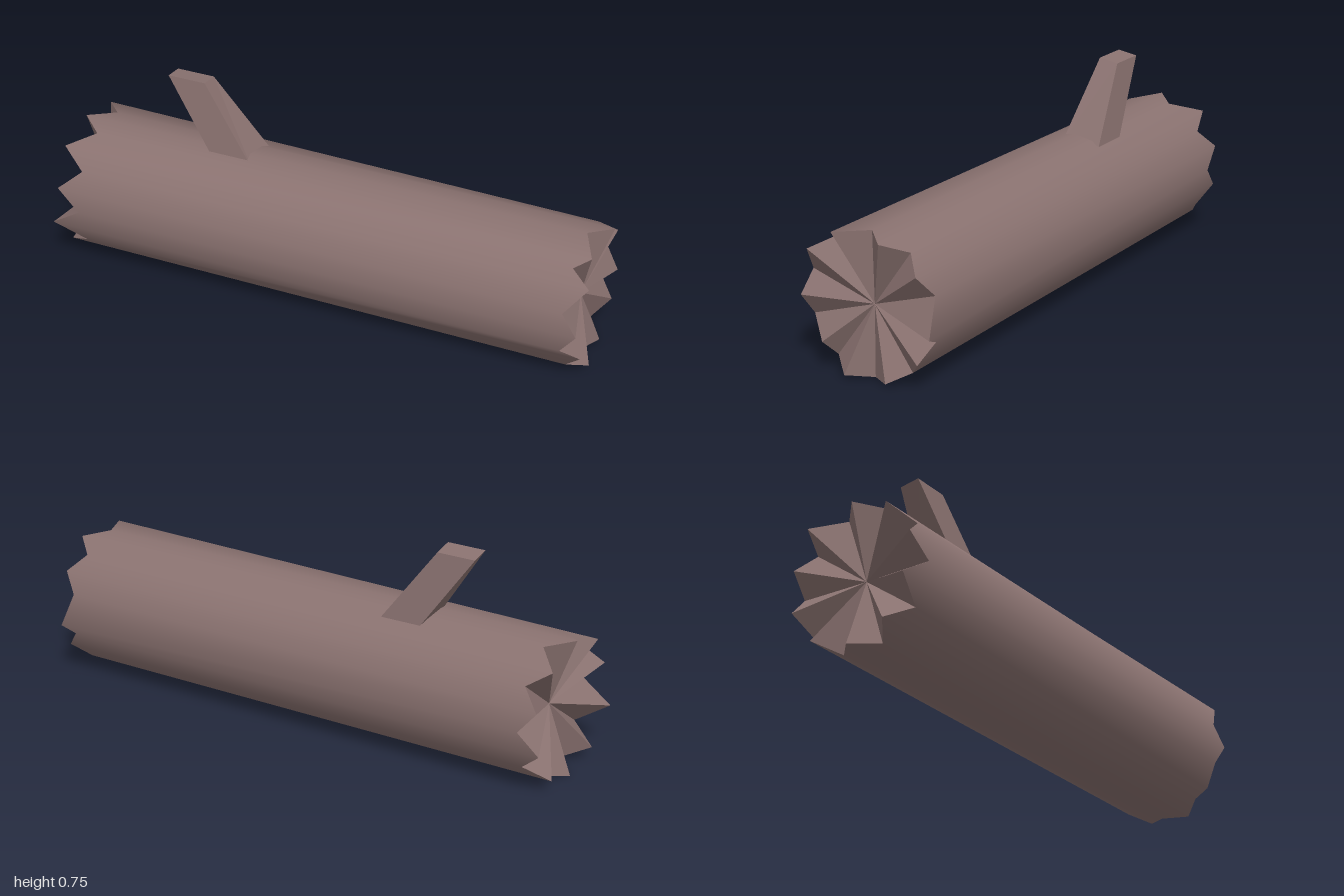
import * as THREE from 'three';

const SIDES = 20, R = 0.25, CY = 0.253;

// One broken end of the log: a ring of points whose teeth alternate with valleys
function jaggedRing(tips, valley, firstTip, nudges) {
  const ring = [];
  for (let k = 0; k < SIDES; k++) {
    const a = (k / SIDES) * Math.PI * 2; // starts at the bottom, turns toward +z
    const isTip = k % 2 === firstTip;
    const x = isTip ? tips[(k - firstTip) / 2] : valley;
    const [z, y] = nudges[k] || [R * Math.sin(a), CY - R * Math.cos(a)];
    ring.push(new THREE.Vector3(x, y, z));
  }
  return ring;
}

// Smooth bark between the two rings
function barkGeometry(left, right) {
  const pos = [], nor = [], idx = [];
  for (let k = 0; k <= SIDES; k++) {
    for (const p of [left[k % SIDES], right[k % SIDES]]) {
      pos.push(p.x, p.y, p.z);
      const n = new THREE.Vector3(0, p.y - CY, p.z).normalize();
      nor.push(n.x, n.y, n.z);
    }
    if (k < SIDES) {
      const i = k * 2;
      idx.push(i, i + 1, i + 3, i, i + 3, i + 2);
    }
  }
  const g = new THREE.BufferGeometry();
  g.setAttribute('position', new THREE.Float32BufferAttribute(pos, 3));
  g.setAttribute('normal', new THREE.Float32BufferAttribute(nor, 3));
  g.setIndex(idx);
  return g;
}

// Faceted fan closing an end
function capGeometry(ring, centreX, flip) {
  const c = new THREE.Vector3(centreX, CY, 0), pts = [];
  ring.forEach((p, k) => {
    const q = ring[(k + 1) % SIDES];
    pts.push(c, flip ? q : p, flip ? p : q);
  });
  const g = new THREE.BufferGeometry().setFromPoints(pts);
  g.computeVertexNormals();
  return g;
}

// Slanted, tapering stub
function branchGeometry() {
  const g = new THREE.BoxGeometry(1, 1, 1);
  const p = g.attributes.position;
  for (let i = 0; i < p.count; i++) {
    const top = p.getY(i) > 0, right = p.getX(i) > 0, front = p.getZ(i) > 0;
    if (top) p.setXYZ(i, right ? -0.485 : -0.625, front ? 0.75 : 0.738, front ? -0.002 : -0.075);
    else p.setXYZ(i, right ? -0.29 : -0.44, 0.47, front ? 0.04 : -0.112);
  }
  const flat = g.toNonIndexed();
  flat.computeVertexNormals();
  return flat;
}

export function createModel() {
  const group = new THREE.Group();
  group.name = 'log';
  const wood = new THREE.MeshStandardMaterial({ color: 0x8a7270 });
  const add = (name, geometry) => {
    const mesh = new THREE.Mesh(geometry, wood);
    mesh.name = name;
    group.add(mesh);
  };

  // Nudges are [z, y] of teeth that are bent off the circle
  const left = jaggedRing(
    [-0.97, -0.98, -1, -0.97, -0.98, -0.97, -0.97, -0.95, -0.96, -0.97], -0.885, 0,
    { 12: [-0.18, 0.458], 14: [-0.247, 0.333] });
  const right = jaggedRing(
    [0.99, 0.98, 0.98, 1, 0.98, 1, 0.98, 0.98, 0.98, 0.98], 0.925, 1,
    { 3: [0.17, 0.107], 7: [0.204, 0.425], 9: [0.122, 0.49], 15: [-0.25, 0.2] });

  add('bark', barkGeometry(left, right));
  add('leftEndWood', capGeometry(right, 0.92, true));
  add('rightEndWood', capGeometry(left, -0.88, false));
  add('branch', branchGeometry());
  return group;
}
